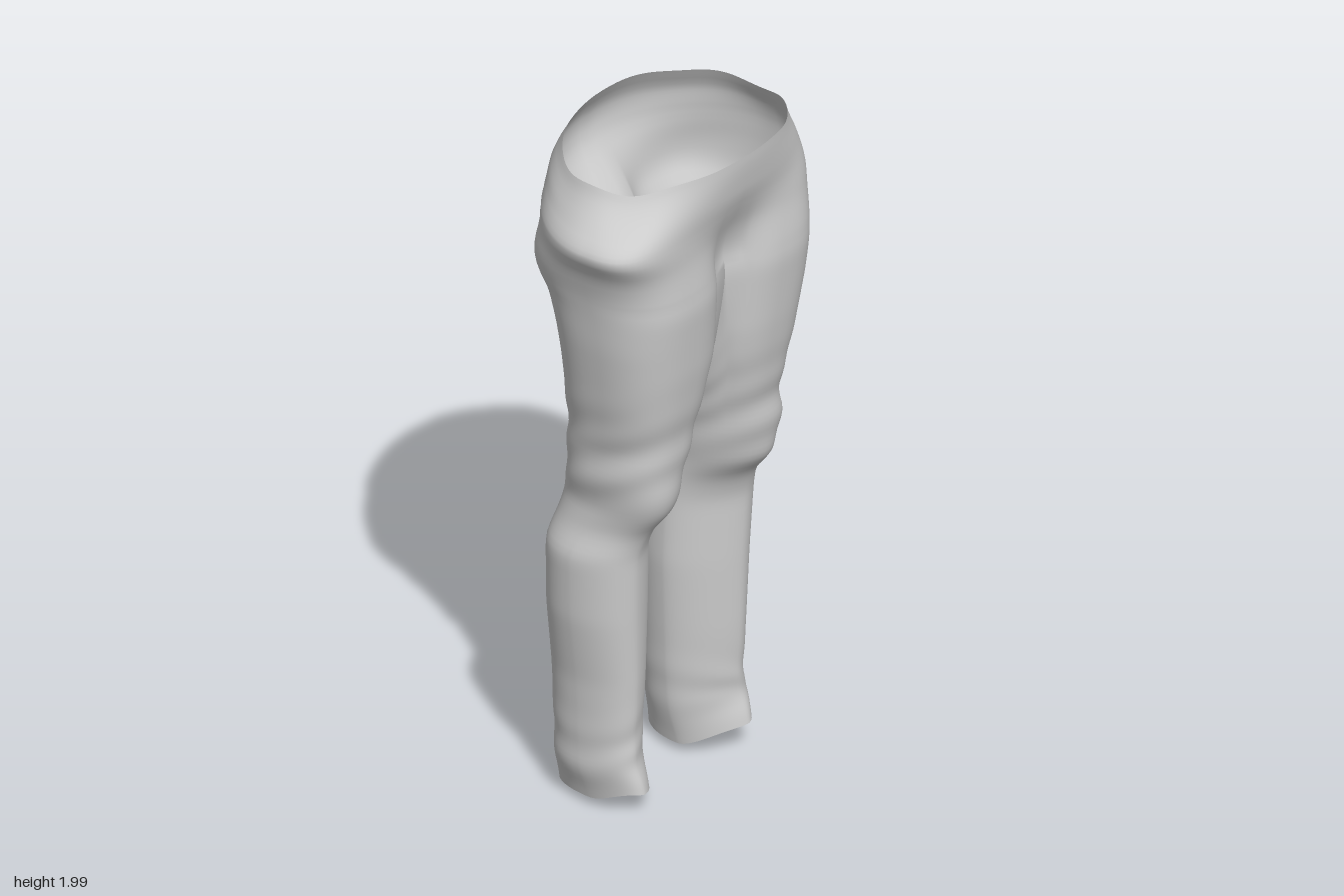
import * as THREE from 'three';
import { mergeGeometries, mergeVertices } from 'three/addons/utils/BufferGeometryUtils.js';

// y, right leg outer/inner x, left leg inner/outer x, front z, back z
const PROFILE = [
  [0.00, -0.23, -0.06, 0.13, 0.31, 0.10, -0.20],
  [0.10, -0.26, -0.05, 0.11, 0.335, 0.075, -0.20],
  [0.20, -0.26, -0.05, 0.10, 0.32, 0.07, -0.20],
  [0.40, -0.27, -0.04, 0.09, 0.33, 0.08, -0.205],
  [0.60, -0.30, -0.03, 0.08, 0.345, 0.085, -0.205],
  [0.80, -0.31, -0.03, 0.085, 0.36, 0.09, -0.20],
  [0.87, -0.28, -0.03, 0.09, 0.34, 0.11, -0.18],
  [0.95, -0.27, -0.03, 0.09, 0.335, 0.175, -0.16],
  [1.05, -0.29, -0.02, 0.08, 0.355, 0.19, -0.148],
  [1.15, -0.29, 0.00, 0.07, 0.337, 0.195, -0.142],
  [1.30, -0.32, 0.018, 0.05, 0.365, 0.225, -0.14],
  [1.40, -0.335, 0.037, 0.043, 0.38, 0.24, -0.145],
  [1.50, -0.35, 0.038, 0.042, 0.40, 0.25, -0.155],
  [1.60, -0.36, 0.038, 0.042, 0.41, 0.26, -0.18],
  [1.66, -0.37, 0.038, 0.042, 0.418, 0.255, -0.22],
  [1.75, -0.395, 0.038, 0.042, 0.425, 0.25, -0.25],
  [1.83, -0.437, 0.038, 0.042, 0.425, 0.252, -0.28],
  [1.90, -0.365, 0.038, 0.042, 0.41, 0.267, -0.28],
  [1.95, -0.32, 0.038, 0.042, 0.385, 0.275, -0.245],
  [2.00, -0.30, 0.038, 0.042, 0.365, 0.275, -0.215],
];
const OUTER = 44, INNER = 14, COLS = OUTER + INNER;
const LEG_ROWS = 90, HIP_ROWS = 28;
const SPLIT = 1.64, TOP = 1.975, SEAM_X = 0.04;

const { smoothstep, lerp } = THREE.MathUtils;
const bell = (v, centre, width) => Math.exp(-(((v - centre) / width) ** 2));
const spow = (v, p) => Math.sign(v) * Math.abs(v) ** p;

function sampleLinear(y) {
  let i = 0;
  while (i < PROFILE.length - 2 && PROFILE[i + 1][0] < y) i++;
  const a = PROFILE[i], b = PROFILE[i + 1];
  const t = THREE.MathUtils.clamp((y - a[0]) / (b[0] - a[0]), 0, 1);
  return a.map((v, k) => lerp(v, b[k], t));
}

// Softened lookup, so the profile has no hard kinks
function sample(y) {
  const s = [-0.025, 0, 0.025].map((d) => sampleLinear(y + d));
  return s[0].map((v, k) => (v + 2 * s[1][k] + s[2][k]) / 4);
}

// One point of the cloth; side is +1 for the left half, -1 for the right
function clothPoint(side, y, col) {
  const [, rOut, rIn, lIn, lOut, zFront, zBack] = sample(y);
  const outerX = side > 0 ? lOut : rOut, innerX = side > 0 ? lIn : rIn;
  const isInner = col > OUTER;
  const seam = col === 0 || col === OUTER;
  const deg = isInner ? 230 + (80 * (col - OUTER)) / INNER : -50 + (280 * col) / OUTER;
  const a = THREE.MathUtils.degToRad(deg);
  const zMid = (zFront + zBack) / 2, zHalf = (zFront - zBack) / 2;

  // Leg section: rounded behind, with a pressed crease down the shin
  const thigh = smoothstep(y, 0.75, 1.4), shin = 1 - thigh;
  const front = Math.max(Math.cos(a), 0);
  const p = 2 / (front > 0 ? lerp(1.7, 2.5, thigh) : lerp(2.2, 2.3, thigh));
  const out = spow(Math.sin(a), p), fwd = spow(Math.cos(a), p);
  // Diagonal folds at the knee and gathers above the hem
  const knee = bell(y, 1.1, 0.15), gather = bell(y, 0.2, 0.1);
  const fold = 1
    + 0.022 * knee * Math.sin(45 * y - 4 * Math.cos(a) + 1.5 * side)
    + 0.015 * gather * Math.sin(42 * y + 3 * Math.sin(a) - side);
  let x = (outerX + innerX) / 2 + ((outerX - innerX) / 2) * out * fold
    + side * 0.03 * shin * front ** 2;
  let z = zMid + zHalf * fwd * fold;
  let py = y;

  if (y < SPLIT) {
    // Thighs press together along the centre seam, with a sagging crotch between
    const join = smoothstep(y, 1.28, SPLIT);
    if (isInner || seam) x = lerp(x, SEAM_X, join);
    if (isInner) {
      py -= 0.18 * Math.sin((Math.PI * (col - OUTER)) / INNER) * smoothstep(y, 1.0, SPLIT);
    }
  } else {
    // Blend the two thigh lobes into one hip outline
    const f = (Math.PI * col) / OUTER;
    const blend = smoothstep(y, SPLIT, 1.88);
    const waist = smoothstep(y, 1.75, 1.97);
    const q = 2 / (Math.cos(f) > 0 ? lerp(2.7, 2.05, waist) : lerp(2, 2.15, waist));
    const bx = SEAM_X + (outerX - SEAM_X) * spow(Math.sin(f), q);
    const bz = zMid + zHalf * spow(Math.cos(f), q);
    x = seam ? SEAM_X : lerp(x, bx, blend);
    z = lerp(z, bz, blend);
    // Pulled-out pocket towards the front of the right hip
    const pocket = side < 0 ? 0.095 : 0.03;
    z += pocket * bell(y, 1.84, 0.1) * Math.sin(f) ** 2;
    // Wavy waist edge: high at front and back, low at the sides
    const rim = smoothstep(y, 1.8, TOP);
    py += rim * (0.022 * Math.cos(f) ** 2 - 0.014 * Math.sin(f) ** 2
      + 0.006 * Math.sin(7 * f) * side * Math.sin(f));
  }

  // Slanted hem: lifted at the front and the outside
  const hem = 1 - smoothstep(y, 0, 0.3);
  const base = side > 0 ? 0.03 : 0.005;
  py += hem * (base + 0.05 * smoothstep(z, -0.05, 0.1) + 0.025 * (out + 1) / 2);
  return [x, py, z];
}

// One half: closed rings along the leg, open half rings around the hip
function halfGeometry(side) {
  const pos = [], index = [];
  const rows = LEG_ROWS + HIP_ROWS;
  for (let r = 0; r <= rows; r++) {
    const y = r <= LEG_ROWS
      ? (SPLIT * r) / LEG_ROWS - (r === LEG_ROWS ? 1e-7 : 0)
      : lerp(SPLIT, TOP, (r - LEG_ROWS) / HIP_ROWS);
    for (let c = 0; c < COLS; c++) pos.push(...clothPoint(side, y, c));
  }
  for (let r = 0; r < rows; r++) {
    const n = r < LEG_ROWS ? COLS : OUTER;
    for (let c = 0; c < n; c++) {
      const a = r * COLS + c, b = r * COLS + ((c + 1) % COLS);
      const d = a + COLS, e = b + COLS;
      if (side > 0) index.push(a, b, d, b, e, d);
      else index.push(a, d, b, b, d, e);
    }
  }
  const g = new THREE.BufferGeometry();
  g.setAttribute('position', new THREE.Float32BufferAttribute(pos, 3));
  g.setIndex(index);
  return g;
}

export function createModel() {
  const group = new THREE.Group();
  group.name = 'trousers';

  // Weld the halves along the centre seam for continuous shading
  const geometry = mergeVertices(mergeGeometries([halfGeometry(1), halfGeometry(-1)]), 1e-4);
  geometry.computeVertexNormals();
  const cloth = new THREE.Mesh(
    geometry,
    new THREE.MeshStandardMaterial({ color: 0xcccccc, side: THREE.DoubleSide })
  );
  cloth.name = 'trouserCloth';
  group.add(cloth);
  return group;
}
